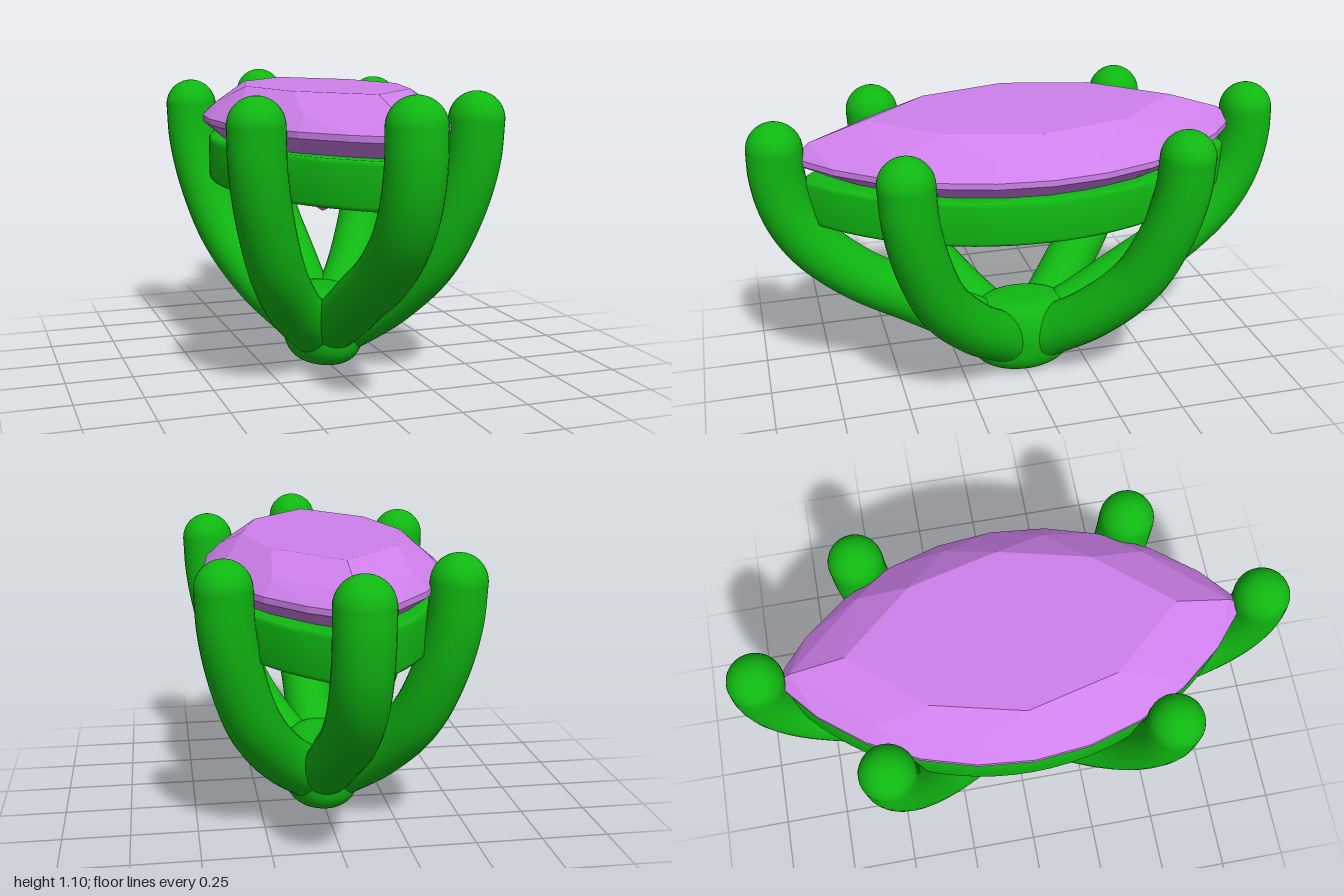
import * as THREE from 'three';
import { toCreasedNormals } from 'three/addons/utils/BufferGeometryUtils.js';
import { ConvexGeometry } from 'three/addons/geometries/ConvexGeometry.js';

// Pointed oval made of two circular arcs; w and l are half width and half length
function marquise(w, l, n) {
  const r = (w * w + l * l) / (2 * w);
  const a = Math.asin(l / r);
  const pts = [];
  for (const side of [1, -1]) {
    for (let i = 0; i < n; i++) {
      const t = -a + (2 * a * i) / n;
      pts.push(new THREE.Vector2(side * (r * Math.cos(t) - r + w), side * r * Math.sin(t)));
    }
  }
  return pts;
}

export function createModel() {
  const model = new THREE.Group();
  model.name = 'gemSetting';
  const metal = new THREE.MeshStandardMaterial({ color: 0x10b812 });
  const gem = new THREE.MeshStandardMaterial({ color: 0xcf80ec, flatShading: true });

  const add = (name, geometry, material, parent = model) => {
    const mesh = new THREE.Mesh(geometry, material);
    mesh.name = name;
    parent.add(mesh);
    return mesh;
  };

  // Prongs: curved round bars with ball tips
  function prong(name, points) {
    const group = new THREE.Group();
    group.name = name;
    const path = new THREE.CatmullRomCurve3(points.map((p) => new THREE.Vector3(...p)));
    add('bar', new THREE.TubeGeometry(path, 48, 0.1, 28), metal, group);
    add('tip', new THREE.SphereGeometry(0.1, 28, 20), metal, group)
      .position.set(...points[points.length - 1]);
    model.add(group);
  }

  const endPath = [[0.06, 0.14], [0.24, 0.235], [0.42, 0.345], [0.64, 0.48],
    [0.79, 0.62], [0.87, 0.76], [0.9, 0.9], [0.9, 1.0]];
  const sidePath = [[0.05, 0.07, 0.14], [0.19, 0.23, 0.285], [0.295, 0.37, 0.46],
    [0.36, 0.45, 0.66], [0.393, 0.49, 0.84], [0.4, 0.5, 0.98]];
  for (const sz of [1, -1]) {
    const end = sz > 0 ? 'front' : 'back';
    prong(end + 'Prong', endPath.map(([z, y]) => [0, y, sz * z]));
    for (const sx of [1, -1]) {
      prong(end + (sx > 0 ? 'Left' : 'Right') + 'Prong',
        sidePath.map(([x, z, y]) => [sx * x, y, sz * z]));
    }
  }

  // Rounded hub where the prongs meet
  const hubProfile = new THREE.SplineCurve([[0, 0.005], [0.08, 0.01], [0.125, 0.04], [0.148, 0.1],
    [0.15, 0.2], [0.12, 0.28], [0.07, 0.3], [0, 0.3]].map((p) => new THREE.Vector2(...p))).getPoints(32);
  hubProfile.forEach((p) => { p.x = Math.max(p.x, 0); });
  add('hub', new THREE.LatheGeometry(hubProfile, 40), metal).scale.z = 1.4;

  // Gallery rail following the outline of the stone
  const railShape = new THREE.Shape(marquise(0.405, 0.81, 28));
  railShape.holes.push(new THREE.Path(marquise(0.33, 0.7, 28).reverse()));
  const railGeometry = new THREE.ExtrudeGeometry(railShape, {
    depth: 0.135, bevelThickness: 0.015, bevelSize: 0.012, bevelSegments: 3,
  });
  railGeometry.rotateX(Math.PI / 2);
  add('galleryRail', toCreasedNormals(railGeometry, 0.6), metal).position.y = 0.865;

  // Faceted stone: rings from the table down to the culet
  const rings = [
    [0.3, 0.58, 1.08, 4], [0.385, 0.78, 1.015, 5], [0.44, 0.84, 0.962, 10],
    [0.44, 0.84, 0.94, 10], [0.19, 0.39, 0.72, 4],
  ];
  const corners = [new THREE.Vector3(0, 0.595, 0)];
  for (const [w, l, y, n] of rings) {
    for (const p of marquise(w, l, n)) corners.push(new THREE.Vector3(p.x, y, p.y));
  }
  add('stone', new ConvexGeometry(corners), gem);

  return model;
}
